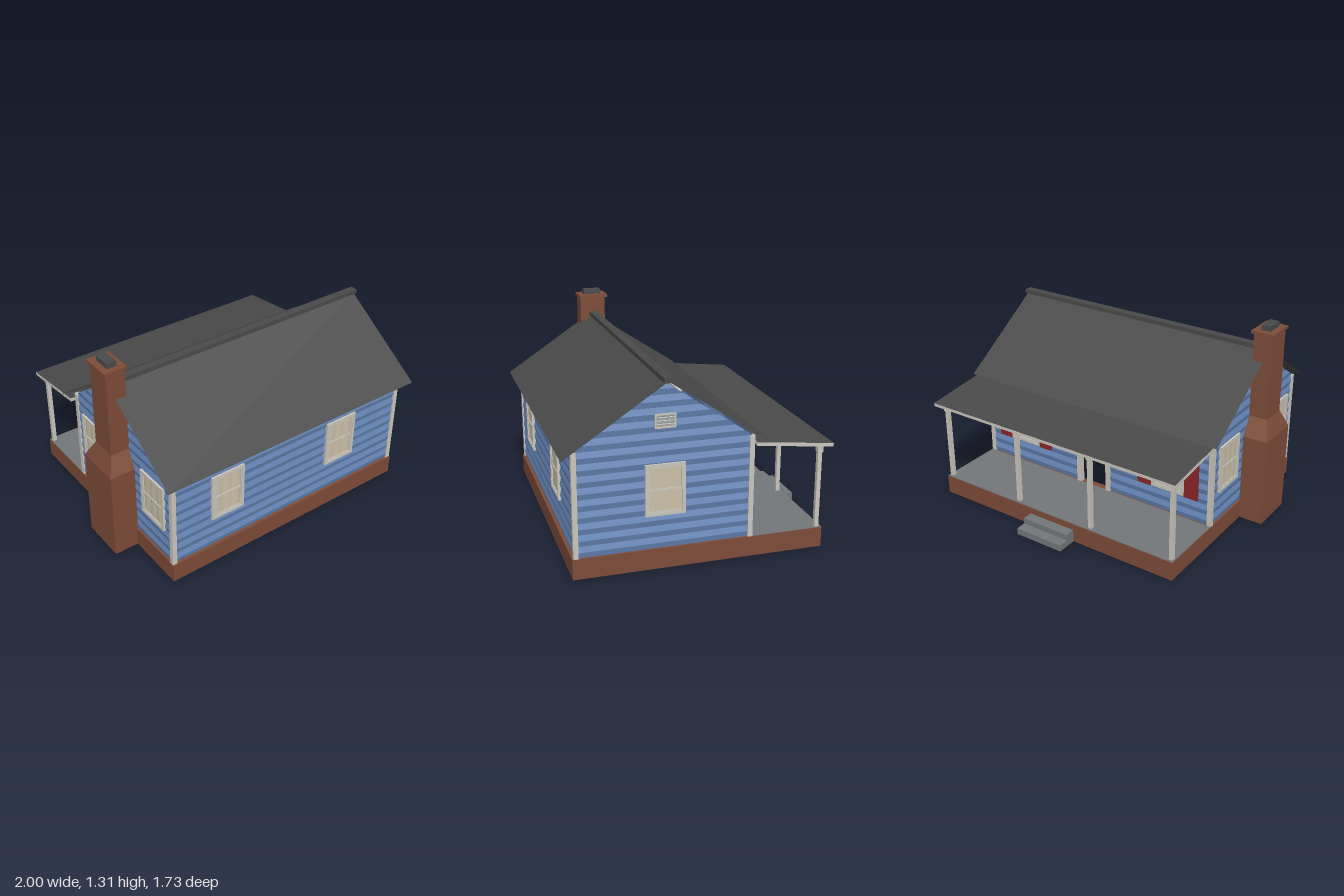
import * as THREE from 'three';

const mat = (name, color, side = THREE.FrontSide) => {
  const m = new THREE.MeshStandardMaterial({ color, side });
  m.name = name;
  return m;
};

export function createModel() {
  const D = THREE.DoubleSide;
  const blue = mat('blue siding', 0x6888ba, D);
  const brick = mat('brick', 0x7d4c38);
  const roofing = mat('dark shingles', 0x4a4a4a, D);
  const trim = mat('pale trim', 0xc9c6bd);
  const cream = mat('cream curtain', 0xcbc1a9, D);
  const red = mat('red shutter', 0x8a2626);
  const grey = mat('grey concrete', 0x747779);
  const iron = mat('dark flue', 0x484a4b);

  const model = new THREE.Group();
  model.name = 'house';

  const add = (parent, name, geo, material) => {
    const m = new THREE.Mesh(geo, material);
    m.name = name;
    parent.add(m);
    return m;
  };
  // box given by its minimum and maximum on each axis
  const box = (parent, name, material, x0, x1, y0, y1, z0, z1) => {
    const m = add(parent, name, new THREE.BoxGeometry(x1 - x0, y1 - y0, z1 - z0), material);
    m.position.set((x0 + x1) / 2, (y0 + y1) / 2, (z0 + z1) / 2);
    return m;
  };
  // rectangular frame in the xy plane, extruded along z
  const frameGeo = (w, h, rim, depth) => {
    const rect = (S, a, b) => new S([[-a, -b], [a, -b], [a, b], [-a, b]].map(p => new THREE.Vector2(...p)));
    const s = rect(THREE.Shape, w / 2, h / 2);
    s.holes.push(rect(THREE.Path, w / 2 - rim, h / 2 - rim));
    return new THREE.ExtrudeGeometry(s, { depth, bevelEnabled: false });
  };
  // mesh from a list of quads, corners counter-clockwise
  const quadGeo = quads => {
    const pos = [];
    for (const [a, b, c, d] of quads) pos.push(...a, ...b, ...c, ...a, ...c, ...d);
    const g = new THREE.BufferGeometry();
    g.setAttribute('position', new THREE.Float32BufferAttribute(pos, 3));
    g.computeVertexNormals();
    return g;
  };

  const X0 = -0.84, X1 = 0.935, Z0 = -0.285, Z1 = 0.795;
  const cx = (X0 + X1) / 2, cz = (Z0 + Z1) / 2, hw = (X1 - X0) / 2, hd = (Z1 - Z0) / 2;
  const floorY = 0.125, eaveY = 0.76, peakY = 1.12;
  const row = (eaveY - floorY) / 18;
  const rowY = i => i <= 18 ? floorY + i * row : eaveY + (i - 18) * (peakY - eaveY) / 10;

  // lapped siding: rows alternately lean out and in
  const siding = (parent, from, to, span) => {
    const quads = [];
    for (let i = from; i < to; i++) {
      const [y0, y1] = [rowY(i), rowY(i + 1)];
      const [a0, b0] = span(y0), [a1, b1] = span(y1);
      const out = k => (k % 2 ? -0.004 : -0.013);
      quads.push([[a0, y0, out(i)], [b0, y0, out(i)], [b1, y1, out(i + 1)], [a1, y1, out(i + 1)]]);
    }
    add(parent, 'siding', quadGeo(quads), blue);
  };

  // window with frame, sash, rail and pleated curtain, seen from both sides
  const windowAt = (parent, u, y0, y1, w = 0.235) => {
    const g = new THREE.Group();
    g.name = 'window';
    g.position.set(u, (y0 + y1) / 2, 0);
    parent.add(g);
    const h = y1 - y0;
    add(g, 'windowFrame', frameGeo(w, h, 0.018, 0.038), trim).position.z = -0.03;
    add(g, 'sash', frameGeo(w - 0.034, h - 0.034, 0.01, 0.03), trim).position.z = -0.026;
    box(g, 'windowRail', trim, -w / 2 + 0.02, w / 2 - 0.02, -0.006, 0.006, -0.026, 0.004);
    for (const z of [-0.002, -0.02]) {
      const p = new THREE.PlaneGeometry(w - 0.04, h - 0.04, 6, 1).toNonIndexed();
      const a = p.attributes.position, step = (w - 0.04) / 6;
      for (let i = 0; i < a.count; i++) {
        const k = Math.round((a.getX(i) + (w - 0.04) / 2) / step);
        a.setZ(i, k % 2 ? 0.002 : -0.001);
      }
      p.computeVertexNormals();
      add(g, 'curtain', p, cream).position.z = z;
    }
  };

  // each wall is built facing +z and then turned into place
  const wall = (name, angle, dist) => {
    const g = new THREE.Group();
    g.name = name;
    g.rotation.y = angle;
    g.position.set(cx + Math.sin(angle) * dist, 0, cz + Math.cos(angle) * dist);
    model.add(g);
    return g;
  };
  const gableSpan = y => {
    const r = y <= eaveY ? hd - 0.01 : (hd - 0.01) * (peakY - y) / (peakY - eaveY);
    return [-r, r];
  };

  const front = wall('frontWall', 0, hd);
  siding(front, 0, 18, () => [-hw + 0.01, hw - 0.01]);
  for (const x of [-0.4425, 0.4425]) windowAt(front, x - cx, 0.335, 0.65);

  const right = wall('rightWall', Math.PI / 2, hw);
  siding(right, 0, 28, gableSpan);
  windowAt(right, 0, 0.335, 0.648, 0.24);
  const vent = add(right, 'ventFrame', frameGeo(0.125, 0.085, 0.008, 0.012), trim);
  vent.position.set(0, 0.9, -0.008);
  for (let i = 0; i < 4; i++) {
    const s = box(right, 'ventSlat', trim, -0.058, 0.058, 0.866 + i * 0.02, 0.882 + i * 0.02, -0.006, 0);
    s.rotation.x = 0.35;
  }

  const left = wall('leftWall', -Math.PI / 2, hw);
  siding(left, 0, 28, gableSpan);
  for (const u of [-0.34, 0.34]) windowAt(left, u, 0.335, 0.648);

  // back wall with open doorway and shuttered windows
  const back = wall('backWall', Math.PI, hd);
  const dw = 0.105;
  siding(back, 0, 15, () => [-hw + 0.01, -dw]);
  siding(back, 0, 15, () => [dw, hw - 0.01]);
  siding(back, 15, 18, () => [-hw + 0.01, hw - 0.01]);
  for (const s of [-1, 1]) {
    box(back, 'doorJamb', trim, s * 0.115 - 0.015, s * 0.115 + 0.015, floorY, 0.66, -0.03, 0.008);
    windowAt(back, s * 0.57, 0.285, 0.648);
    for (const t of [-1, 1]) {
      const c = s * 0.57 + t * 0.172;
      box(back, 'shutter', red, c - 0.048, c + 0.048, 0.282, 0.648, -0.006, 0.007);
    }
  }
  box(back, 'doorHead', trim, -0.13, 0.13, 0.635, 0.665, -0.03, 0.008);

  // corner boards
  for (const x of [X0, X1 - 0.03])
    for (const z of [Z0, Z1 - 0.03]) box(model, 'cornerBoard', trim, x, x + 0.03, floorY, eaveY, z, z + 0.03);

  // foundation rings, open below
  const ring = (name, z0, z1) => {
    const m = add(model, name, frameGeo(X1 - X0 + 0.004, z1 - z0, 0.05, floorY), brick);
    m.rotation.x = -Math.PI / 2;
    m.position.set(cx, 0, (z0 + z1) / 2);
  };
  ring('houseFoundation', -0.29, 0.802);
  ring('porchFoundation', -0.735, -0.29);

  // porch floor, steps, posts and beam
  box(model, 'porchFloor', grey, X0, X1, 0.115, 0.129, -0.733, -0.285);
  box(model, 'lowerStep', grey, -0.12, 0.22, 0, 0.043, -0.87, -0.735);
  box(model, 'upperStep', grey, -0.12, 0.22, 0.043, 0.083, -0.802, -0.735);
  for (const x of [-0.82, -0.235, 0.33, 0.915]) {
    box(model, 'porchPost', trim, x - 0.013, x + 0.013, floorY, 0.65, -0.718, -0.692);
    box(model, 'postCapital', trim, x - 0.018, x + 0.018, 0.61, 0.65, -0.723, -0.687);
  }
  box(model, 'porchBeam', trim, X0, X1, 0.632, 0.664, -0.721, -0.689);

  // sloping porch roof with a shingled top
  const profile = new THREE.Shape([[0.285, 0.706], [0.768, 0.653], [0.768, 0.672], [0.285, 0.727]]
    .map(p => new THREE.Vector2(...p)));
  const slab = add(model, 'porchRoof', new THREE.ExtrudeGeometry(profile, { depth: 1.84, bevelEnabled: false }), trim);
  slab.rotation.y = Math.PI / 2;
  slab.position.x = -0.87;
  add(model, 'porchShingles', quadGeo([
    [[-0.87, 0.674, -0.77], [-0.87, 0.729, -0.285], [0.97, 0.729, -0.285], [0.97, 0.674, -0.77]]]), roofing);

  // main roof sheets and ridge cap
  const ridge = 1.14, rz = 0.255, xa = -0.9, xb = 0.99;
  add(model, 'frontRoof', quadGeo([
    [[xa, 0.74, 0.86], [xb, 0.74, 0.86], [xb, ridge, rz], [xa, ridge, rz]]]), roofing);
  add(model, 'backRoof', quadGeo([
    [[xb, 0.728, -0.365], [xa, 0.728, -0.365], [xa, ridge, rz], [xb, ridge, rz]]]), roofing);
  box(model, 'ridgeCap', roofing, -0.9, 1, 1.134, 1.162, rz - 0.026, rz + 0.026);

  // chimney: wide base, tapered shoulder, shaft, cap and flue
  box(model, 'chimneyBase', brick, -1, -0.835, 0, 0.59, 0.1, 0.4);
  const lo = [[-1, 0.4], [-0.835, 0.4], [-0.835, 0.1], [-1, 0.1]].map(([x, z]) => [x, 0.59, z]);
  const hi = [[-0.955, 0.343], [-0.835, 0.343], [-0.835, 0.17], [-0.955, 0.17]].map(([x, z]) => [x, 0.71, z]);
  add(model, 'chimneyShoulder', quadGeo([0, 1, 2, 3].map(i => {
    const j = (i + 1) % 4;
    return [lo[i], lo[j], hi[j], hi[i]];
  })), brick);
  box(model, 'chimneyShaft', brick, -0.955, -0.83, 0.7, 1.27, 0.17, 0.343);
  box(model, 'chimneyCap', brick, -0.967, -0.818, 1.262, 1.28, 0.152, 0.352);
  box(model, 'flue', iron, -0.925, -0.863, 1.28, 1.312, 0.195, 0.312);

  return model;
}
